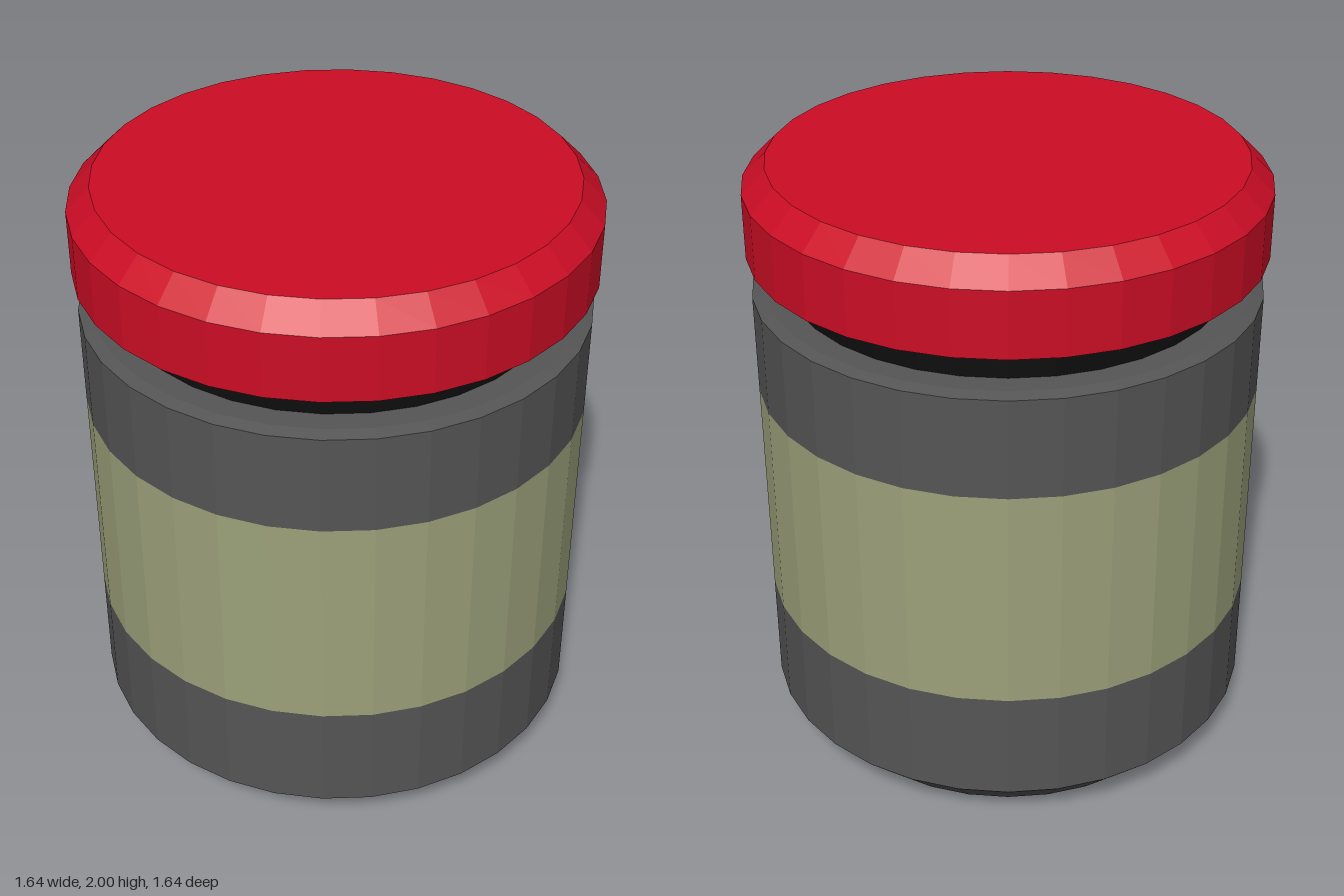
import * as THREE from 'three';

const SIDES = 32;

// Faceted solid of revolution from [radius, height] pairs, listed bottom to top
function turned(name, color, profile) {
  const points = profile.map(([r, y]) => new THREE.Vector2(r, y));
  const material = new THREE.MeshStandardMaterial({ color, flatShading: true });
  const mesh = new THREE.Mesh(new THREE.LatheGeometry(points, SIDES), material);
  mesh.name = name;
  return mesh;
}

export function createModel() {
  const group = new THREE.Group();
  group.name = 'jar';

  const grey = 0x555555;
  const R = 0.81;

  group.add(
    // Chamfered base and lower wall
    turned('lowerBody', grey, [[0, 0], [0.67, 0], [R, 0.145], [R, 0.515]]),
    // Label band, flush with the wall
    turned('label', 0x9ca17a, [[R, 0.515], [R, 1.255]]),
    // Upper wall and shallow shoulder
    turned('upperBody', grey, [[R, 1.255], [R, 1.58], [0.77, 1.59], [0.695, 1.59]]),
    // Neck running up into the lid
    turned('neck', 0x0d0d0d, [[0.695, 1.585], [0.695, 1.72]]),
    // Lid with underside and chamfered top
    turned('lid', 0xcc0d25, [[0, 1.715], [0.82, 1.715], [0.82, 1.925], [0.745, 2], [0, 2]])
  );

  return group;
}
